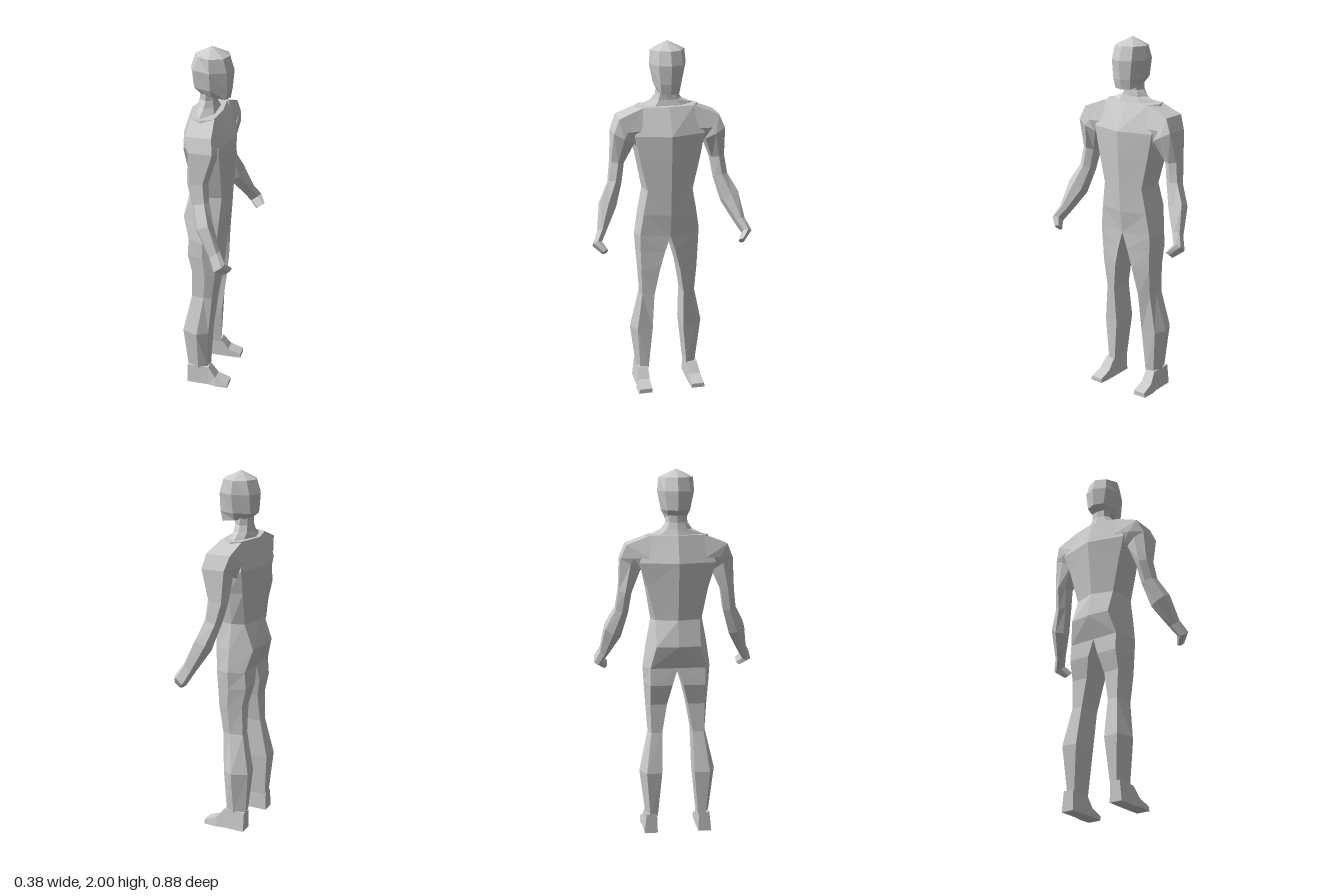
import * as THREE from 'three';

const grey = new THREE.MeshStandardMaterial({ color: 0xcccccc });
grey.name = 'plain grey';

// Flat-faced skin through equal-sized rings of [x, y, z]; faces lying in the
// mirror plane are left out, so two mirrored halves join into one body
function loft(rings, capStart, capEnd) {
  let tris = [];
  const n = rings[0].length;
  for (let i = 0; i + 1 < rings.length; i++) {
    for (let j = 0; j < n; j++) {
      const k = (j + 1) % n;
      const [a, b, c, d] = [rings[i][j], rings[i][k], rings[i + 1][k], rings[i + 1][j]];
      tris.push([a, d, c], [a, c, b]);
    }
  }
  const first = rings[0], last = rings[rings.length - 1];
  for (let j = 1; j + 1 < n; j++) {
    if (capStart) tris.push([first[0], first[j], first[j + 1]]);
    if (capEnd) tris.push([last[0], last[j + 1], last[j]]);
  }
  tris = tris.filter((t) => t.some((p) => Math.abs(p[2]) > 1e-6));
  // Signed volume about the first ring tells whether the skin faces inward
  const origin = new THREE.Vector3(...first[0]);
  let volume = 0;
  for (const t of tris) {
    const [a, b, c] = t.map((p) => new THREE.Vector3(...p).sub(origin));
    volume += a.dot(b.cross(c));
  }
  if (volume < 0) tris.forEach((t) => t.reverse());
  const geometry = new THREE.BufferGeometry();
  geometry.setAttribute('position', new THREE.Float32BufferAttribute(tris.flat(2), 3));
  geometry.computeVertexNormals();
  return geometry;
}

// Half section: front x, front edge, side, back edge, back x, inner z
function half(y, front, [ex, ez], [sx, sz], [bx, bz], back, inner = 0) {
  return [[front, y, inner], [ex, y, ez], [sx, y, sz], [bx, y, bz], [back, y, inner]];
}

// Symmetric eight-sided section made from a half section, sloping with x
function section(tilt, ...args) {
  const side = half(...args).map(([x, y, z]) => [x, y + tilt * x, z]);
  return [...side, ...side.slice(1, 4).reverse().map(([x, y, z]) => [x, y, -z])];
}

// Six-sided limb ring between an outer and an inner outline point
function limbRing([oy, oz], [iy, iz], x, depth, tilt = 0, box = 0.6) {
  const my = (oy + iy) / 2, mz = (oz + iz) / 2;
  return [[box, oy, oz], [1, my, mz], [box, iy, iz], [-box, iy, iz], [-1, my, mz], [-box, oy, oz]]
    .map(([f, y, z]) => [x + f * depth, y + tilt * f * depth, z]);
}

export function createModel() {
  const model = new THREE.Group();
  model.name = 'standingFigure';
  const body = new THREE.Group();
  body.name = 'body';
  model.add(body);

  const add = (name, rings, capStart, capEnd) => {
    const mesh = new THREE.Mesh(loft(rings, capStart, capEnd), grey);
    mesh.name = name;
    body.add(mesh);
  };
  const addPair = (name, rings, capStart, capEnd) => {
    add(name + 'Left', rings, capStart, capEnd);
    add(name + 'Right', rings.map((r) => r.map(([x, y, z]) => [x, y, -z])), capStart, capEnd);
  };

  // Leg and half torso in one skin: ankle, calf, knee, thigh, crotch, waist, chest, collar
  addPair('legAndTorso', [
    half(0.1, -0.01, [-0.02, 0.16], [-0.07, 0.178], [-0.135, 0.155], -0.13, 0.113),
    half(0.35, 0.0, [-0.01, 0.175], [-0.07, 0.21], [-0.157, 0.175], -0.15, 0.09),
    half(0.57, 0.028, [0.005, 0.15], [-0.04, 0.16], [-0.112, 0.145], -0.11, 0.085),
    half(0.73, 0.05, [0.025, 0.158], [-0.03, 0.172], [-0.108, 0.15], -0.105, 0.058),
    half(0.84, 0.057, [0.03, 0.162], [-0.04, 0.18], [-0.132, 0.15], -0.13, 0.03),
    half(0.935, 0.062, [0.035, 0.165], [-0.04, 0.186], [-0.125, 0.15], -0.125),
    half(1.06, 0.08, [0.045, 0.148], [-0.04, 0.168], [-0.16, 0.12], -0.174),
    half(1.2, 0.088, [0.055, 0.125], [-0.04, 0.142], [-0.11, 0.12], -0.148),
    half(1.38, 0.10, [0.055, 0.165], [-0.04, 0.172], [-0.12, 0.165], -0.17),
    half(1.51, 0.105, [0.055, 0.19], [-0.04, 0.2], [-0.13, 0.205], -0.187),
    half(1.655, 0.03, [0.015, 0.14], [-0.05, 0.17], [-0.10, 0.15], -0.14),
  ], false, true);

  // Neck, flaring into the collar
  add('neck', [
    section(0, 1.655, 0.0, [0.0, 0.07], [-0.06, 0.15], [-0.09, 0.09], -0.118),
    section(0, 1.685, -0.01, [-0.01, 0.05], [-0.055, 0.085], [-0.09, 0.055], -0.105),
    section(0, 1.72, -0.01, [-0.015, 0.04], [-0.05, 0.06], [-0.085, 0.04], -0.095),
    section(0, 1.775, 0.0, [-0.01, 0.04], [-0.05, 0.056], [-0.085, 0.04], -0.095),
  ], false, false);

  // Head with a faceted crown and a low chin
  add('head', [
    section(-0.15, 1.741, 0.07, [0.055, 0.048], [-0.02, 0.06], [-0.075, 0.045], -0.095),
    section(0, 1.785, 0.08, [0.065, 0.055], [-0.02, 0.08], [-0.11, 0.055], -0.132),
    section(0, 1.885, 0.09, [0.065, 0.065], [-0.02, 0.1], [-0.11, 0.07], -0.143),
    section(0, 1.958, 0.065, [0.045, 0.06], [-0.025, 0.093], [-0.09, 0.06], -0.118),
    section(0, 2.0, -0.026, [-0.027, 0.003], [-0.03, 0.004], [-0.033, 0.003], -0.034),
  ], true, true);

  // Shoulder growing out of the chest, arm and curled hand
  addPair('arm', [
    limbRing([1.655, 0.14], [1.42, 0.165], -0.042, 0.095, 0, 0.65),
    limbRing([1.605, 0.272], [1.465, 0.19], -0.03, 0.085, 0, 0.8),
    limbRing([1.53, 0.304], [1.475, 0.195], -0.014, 0.08, 0, 0.8),
    limbRing([1.36, 0.314], [1.35, 0.245], -0.032, 0.058, 0.15),
    limbRing([1.255, 0.33], [1.24, 0.262], -0.012, 0.046, 0.3),
    limbRing([1.15, 0.385], [1.11, 0.3], 0.022, 0.046, 0.5),
    limbRing([1.01, 0.41], [1.0, 0.363], 0.085, 0.03, 0.8),
    limbRing([0.945, 0.442], [0.95, 0.395], 0.118, 0.032, 0.8),
    limbRing([0.905, 0.395], [0.915, 0.368], 0.155, 0.025, 0.8),
  ], false, true);

  // Foot from heel to flat toe: x, height, inner and outer z, top inset
  addPair('foot', [
    [-0.135, 0.11, 0.114, 0.188, 0.012],
    [-0.01, 0.11, 0.113, 0.188, 0.014],
    [0.035, 0.052, 0.113, 0.196, 0.012],
    [0.108, 0.025, 0.116, 0.193, 0.004],
  ].map(([x, h, zi, zo, inset]) => [
    [x, 0, zi], [x, 0, zo], [x, h, zo - inset], [x, h, zi + inset / 3],
  ]), true, true);

  // The whole figure is turned very slightly
  body.rotation.y = -0.045;
  body.position.z = -0.006;
  return model;
}
